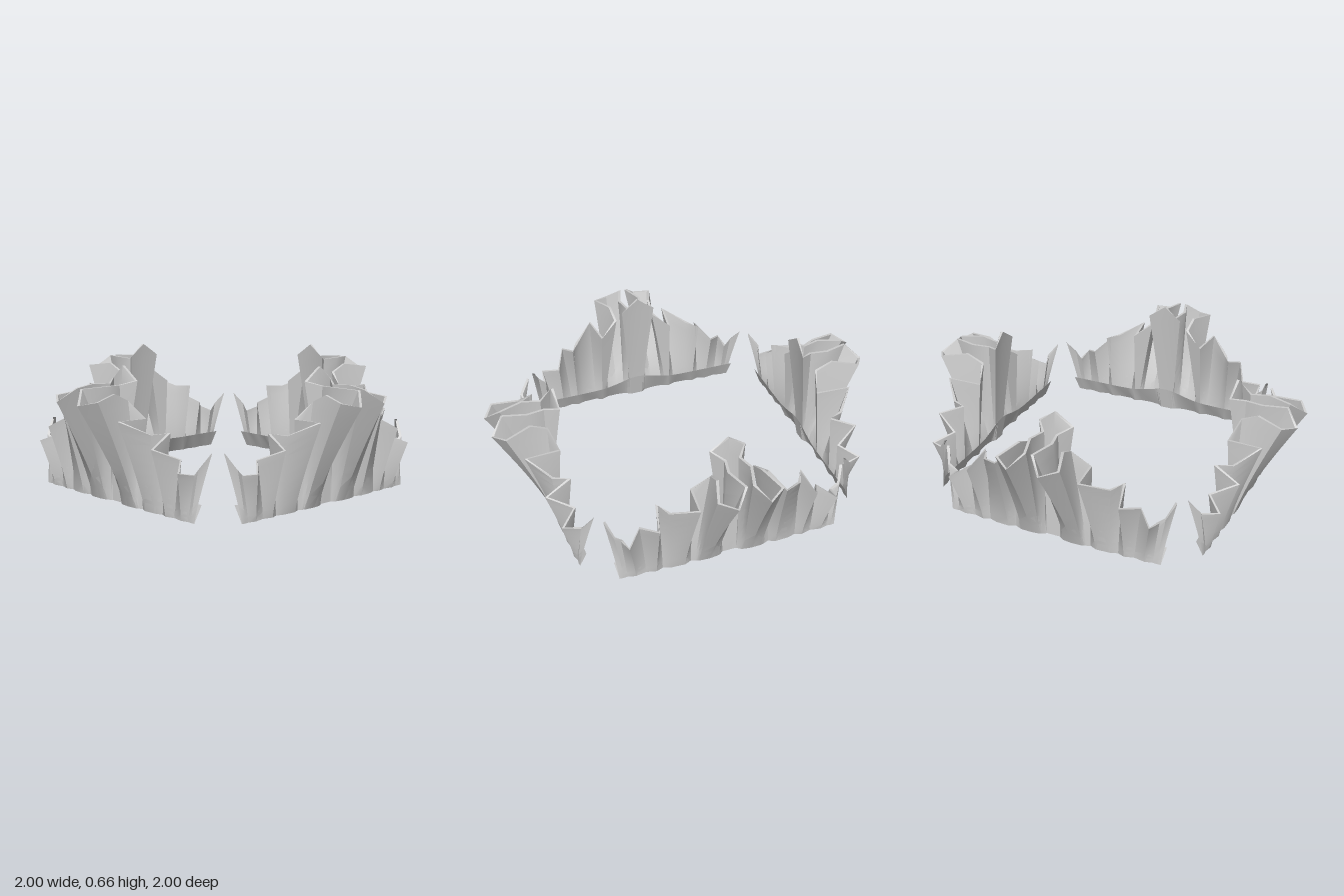
import * as THREE from 'three';
import { toCreasedNormals, mergeVertices } from 'three/addons/utils/BufferGeometryUtils.js';

// Half of one pleated wall, from the centre out to the corner.
// Each fold line: top x, y, z, then bottom x, z (the foot is at y = 0).
const FOLDS = [
  [0, 0.66, 0.67, 0, 0.715],          // centre spine
  [0.08, 0.595, 0.66, 0.035, 0.715],
  [0.03, 0.575, 0.72, 0.042, 0.72],
  [0.05, 0.58, 0.81, 0.055, 0.73],    // large pleat
  [0.012, 0.575, 0.93, 0.07, 0.735],
  [0.08, 0.51, 1.0, 0.11, 0.74],
  [0.165, 0.53, 0.945, 0.165, 0.738],
  [0.12, 0.55, 0.81, 0.175, 0.734],
  [0.115, 0.51, 0.73, 0.185, 0.73],
  [0.19, 0.43, 0.7, 0.205, 0.722],
  [0.215, 0.44, 0.875, 0.24, 0.738],  // second pleat
  [0.335, 0.38, 0.775, 0.31, 0.735],
  [0.365, 0.385, 0.7, 0.35, 0.722],
  [0.4, 0.33, 0.83, 0.385, 0.735],    // third pleat
  [0.46, 0.275, 0.71, 0.435, 0.722],
  [0.535, 0.235, 0.79, 0.49, 0.732],  // fourth pleat
  [0.55, 0.215, 0.7, 0.53, 0.722],
  [0.585, 0.25, 0.71, 0.55, 0.724],
  [0.62, 0.32, 0.658, 0.57, 0.722],   // corner point
];
const mirrored = FOLDS.slice(1).reverse().map(([x, y, z, bx, bz]) => [-x, y, z, -bx, bz]);
const WALL = [...mirrored, ...FOLDS];
const ROWS = 8, THICK = 0.014;

// Joins cross-sections (arrays of [x, y, z]) into one surface with sharp creases.
function loft(sections) {
  const n = sections[0].length, index = [];
  for (let i = 0; i < sections.length - 1; i++) {
    for (let j = 0; j < n - 1; j++) {
      const a = i * n + j, b = a + n;
      index.push(a, b, b + 1, a, b + 1, a + 1);
    }
  }
  const g = new THREE.BufferGeometry();
  g.setAttribute('position', new THREE.Float32BufferAttribute(sections.flat(2), 3));
  g.setIndex(index);
  return toCreasedNormals(mergeVertices(g), 0.6);
}

// Fold line i: up the outer skin, over the rim, down the inner skin.
function foldSection(i) {
  const [x, y, z, bx, bz] = WALL[i];
  const p = WALL[Math.max(i - 1, 0)], q = WALL[Math.min(i + 1, WALL.length - 1)];
  const dx = q[0] - p[0], dz = q[2] - p[2], len = Math.hypot(dx, dz) || 1;
  const skin = (t, inset) => {
    const k = Math.pow(t, 1.18), o = inset * t;
    return [bx + (x - bx) * k + dz / len * o, y * t, bz + (z - bz) * k - dx / len * o];
  };
  const pts = [];
  for (let r = 0; r <= ROWS; r++) pts.push(skin(r / ROWS, 0));
  for (let r = ROWS; r >= 0; r--) pts.push(skin(r / ROWS, THICK));
  return pts;
}

export function createModel() {
  const model = new THREE.Group();
  const material = new THREE.MeshStandardMaterial({ color: 0xcccccc, side: THREE.DoubleSide });

  const pleats = loft(WALL.map((_, i) => foldSection(i)));

  // Low strip along the inner foot, rising gently at the centre
  const strip = loft(WALL.map(([, , , bx, bz]) => {
    const top = 0.085 + 0.045 * Math.exp(-Math.pow(bx / 0.13, 2));
    return [[bx, 0, bz], [bx * 1.03, top, 0.692]];
  }));

  // Four equal walls around a square
  ['front', 'left', 'back', 'right'].forEach((side, i) => {
    const wall = new THREE.Group();
    wall.name = side + 'Wall';
    const sheet = new THREE.Mesh(pleats, material);
    sheet.name = 'pleatedSheet';
    const foot = new THREE.Mesh(strip, material);
    foot.name = 'innerFootStrip';
    wall.add(sheet, foot);
    wall.rotation.y = i * Math.PI / 2;
    model.add(wall);
  });
  return model;
}
